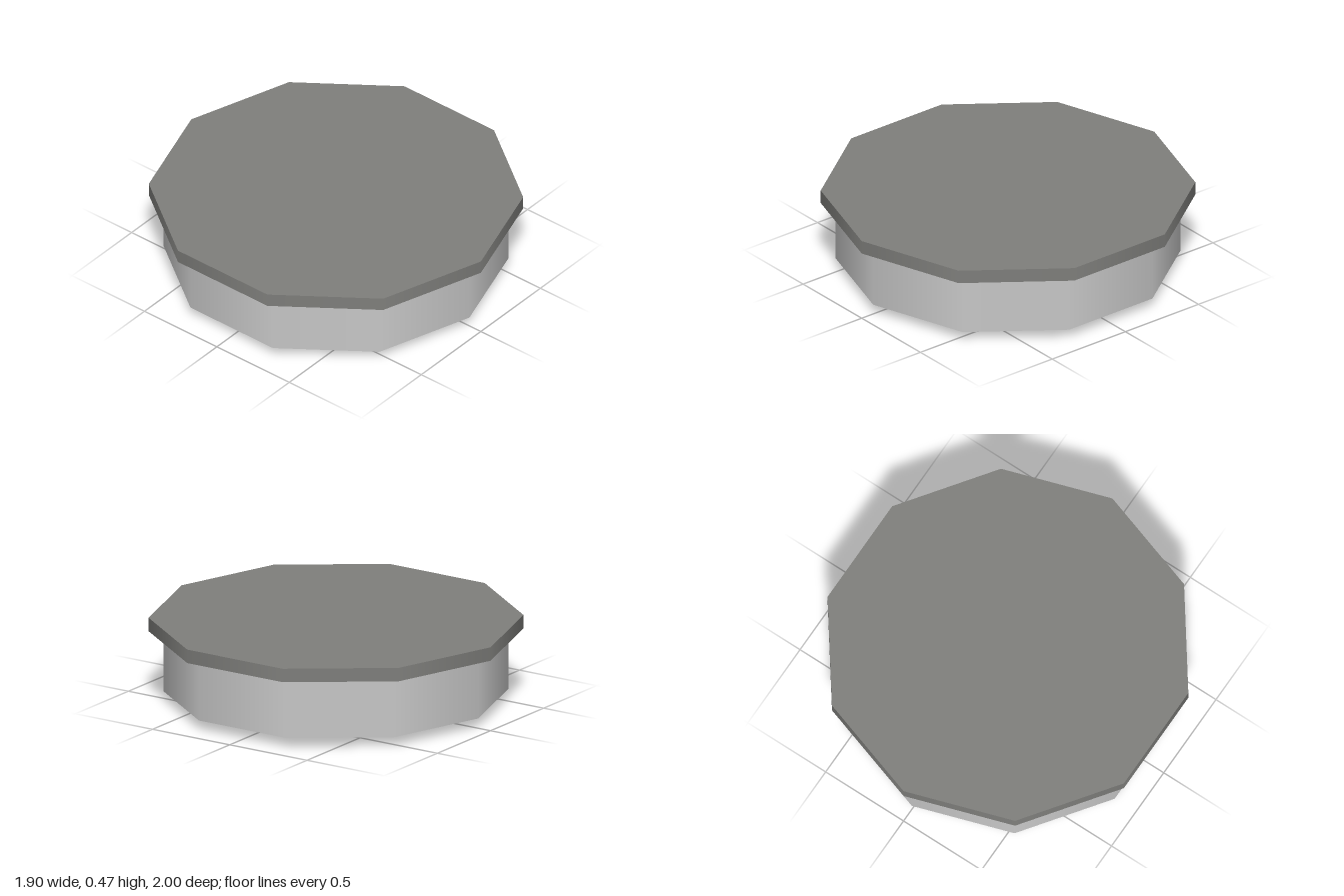
import * as THREE from 'three';

export function createModel() {
  const group = new THREE.Group();
  const darkGrey = new THREE.MeshStandardMaterial({ name: 'darkGrey', color: 0x7f7f7c });
  const lightGrey = new THREE.MeshStandardMaterial({ name: 'lightGrey', color: 0xc8c8c8 });

  // Ten-sided disc between two heights, with a corner pointing to the front
  function disc(name, radius, bottom, top, material) {
    const mesh = new THREE.Mesh(new THREE.CylinderGeometry(radius, radius, top - bottom, 10), material);
    mesh.name = name;
    mesh.position.y = (bottom + top) / 2;
    group.add(mesh);
  }

  disc('foot', 0.143, 0, 0.055, darkGrey);
  disc('body', 0.921, 0.055, 0.39, lightGrey);
  disc('lid', 1, 0.39, 0.465, darkGrey);

  return group;
}
